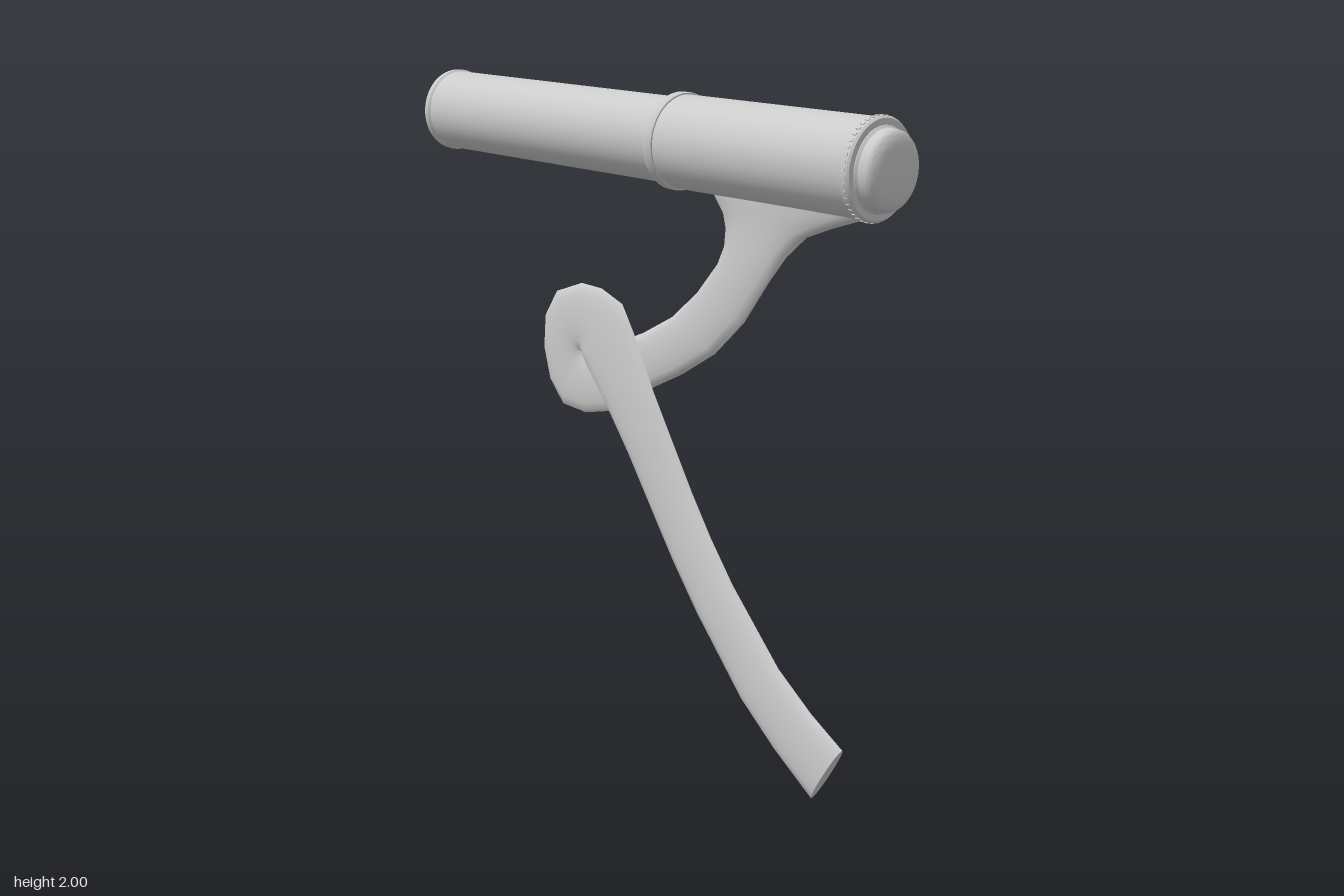
import * as THREE from 'three';
import { toCreasedNormals } from 'three/addons/utils/BufferGeometryUtils.js';

const material = new THREE.MeshStandardMaterial({ color: 0xcccccc });

function addMesh(parent, name, geometry) {
  const mesh = new THREE.Mesh(geometry, material);
  mesh.name = name;
  parent.add(mesh);
  return mesh;
}

// Turned part: profile of [radius, distance along the barrel]
function turned(profile) {
  const points = profile.map(([r, s]) => new THREE.Vector2(r, s));
  return toCreasedNormals(new THREE.LatheGeometry(points, 48), 0.6);
}

// Lens-shaped strap through stations of [inner x, inner y, outer x, outer y, z, half thickness]
function strap(stations, sides = 16) {
  const positions = [], index = [];
  for (const [ax, ay, bx, by, z, t] of stations) {
    for (let j = 0; j < sides; j++) {
      const a = (j / sides) * Math.PI * 2;
      const u = (1 + Math.cos(a)) / 2;
      positions.push(ax + (bx - ax) * u, ay + (by - ay) * u, z + t * Math.sin(a));
    }
  }
  for (let i = 0; i < stations.length - 1; i++) {
    for (let j = 0; j < sides; j++) {
      const k = (j + 1) % sides;
      const p = i * sides + j, q = i * sides + k;
      index.push(p, q, p + sides, q, q + sides, p + sides);
    }
  }
  // end caps
  const last = (stations.length - 1) * sides;
  for (let j = 1; j < sides - 1; j++) {
    index.push(0, j + 1, j, last, last + j, last + j + 1);
  }
  const geometry = new THREE.BufferGeometry();
  geometry.setAttribute('position', new THREE.Float32BufferAttribute(positions, 3));
  geometry.setIndex(index);
  return toCreasedNormals(geometry, 0.9);
}

export function createModel() {
  const model = new THREE.Group();

  // Tilted barrel, built along its own axis from the open end
  const barrel = new THREE.Group();
  barrel.name = 'barrel';
  barrel.position.set(-0.88, 1.875, 0);
  barrel.rotation.z = -Math.PI / 2 - 0.1;
  model.add(barrel);

  addMesh(barrel, 'frontTube', turned([
    [0, 0.004], [0.117, 0.004], [0.119, 0], [0.124, 0.002], [0.125, 0.018], [0.12, 0.024], [0.12, 1.02],
  ]));
  addMesh(barrel, 'collar', turned([
    [0.115, 1.0], [0.134, 1.0], [0.136, 1.005], [0.136, 1.025], [0.134, 1.03], [0.125, 1.032],
  ]));
  addMesh(barrel, 'rearTube', turned([
    [0.115, 1.015], [0.13, 1.015], [0.13, 1.69], [0.134, 1.694], [0.134, 1.714], [0.129, 1.72], [0.1, 1.72],
  ]));
  const dome = [[0.112, 1.714], [0.112, 1.722], [0.106, 1.728], [0.104, 1.748]];
  for (let i = 1; i <= 8; i++) {
    const a = (i / 8) * Math.PI / 2;
    dome.push([0.05 + 0.054 * Math.cos(a), 1.748 + 0.025 * Math.sin(a)]);
  }
  dome.push([0.025, 1.777], [0, 1.778]);
  addMesh(barrel, 'endDome', turned(dome));

  // Fine knurling on the rear rim
  const knurls = new THREE.Group();
  knurls.name = 'rimKnurling';
  barrel.add(knurls);
  const stud = new THREE.BoxGeometry(0.006, 0.012, 0.009);
  for (let i = 0; i < 44; i++) {
    const a = (i / 44) * Math.PI * 2;
    const mesh = addMesh(knurls, 'knurl', stud);
    mesh.position.set(0.133 * Math.cos(a), 1.704, 0.133 * Math.sin(a));
    mesh.rotation.y = -a;
  }

  // Handle strap: flares out under the barrel and sweeps down behind the loop
  const stations = [
    [0.24, 1.65, 0.84, 1.60, 0, 0.03],
    [0.265, 1.615, 0.77, 1.575, 0, 0.028],
    [0.29, 1.58, 0.67, 1.55, 0, 0.025],
    [0.30, 1.54, 0.59, 1.525, 0, 0.023],
    [0.295, 1.49, 0.52, 1.47, 0, 0.022],
    [0.27, 1.44, 0.46, 1.40, 0, 0.022],
    [0.19, 1.355, 0.37, 1.285, -0.002, 0.021],
    [0.09, 1.28, 0.26, 1.19, -0.004, 0.02],
    [-0.03, 1.225, 0.13, 1.12, -0.007, 0.02],
    [-0.15, 1.185, 0.0, 1.065, -0.01, 0.02],
    [-0.23, 1.16, -0.10, 1.005, -0.01, 0.019],
  ];

  // Loop: inner edge pinched at one point, outer edge rounding it
  const outer = [
    [-0.18, 0.978], [-0.28, 0.963], [-0.38, 0.98], [-0.435, 1.05], [-0.46, 1.15],
    [-0.45, 1.25], [-0.395, 1.325], [-0.28, 1.356], [-0.19, 1.345], [-0.10, 1.305],
  ];
  outer.forEach(([x, y], i) => {
    stations.push([-0.283, 1.153, x, y, -0.009 + 0.019 * i / (outer.length - 1), 0.018]);
  });

  // Long tail curving down in front to the free end
  stations.push(
    [-0.25, 1.105, -0.05, 1.225, 0.012, 0.019],
    [-0.17, 1.0, 0.03, 1.06, 0.01, 0.02],
    [-0.08, 0.865, 0.095, 0.935, 0.005, 0.021],
    [0.01, 0.715, 0.175, 0.785, 0, 0.021],
    [0.10, 0.575, 0.25, 0.665, 0, 0.021],
    [0.20, 0.435, 0.335, 0.545, 0, 0.021],
    [0.375, 0.22, 0.51, 0.34, 0, 0.021],
    [0.50, 0.105, 0.63, 0.24, 0, 0.02],
    [0.635, 0.0, 0.74, 0.165, 0, 0.019],
  );
  addMesh(model, 'loopedHandle', strap(stations));

  return model;
}
